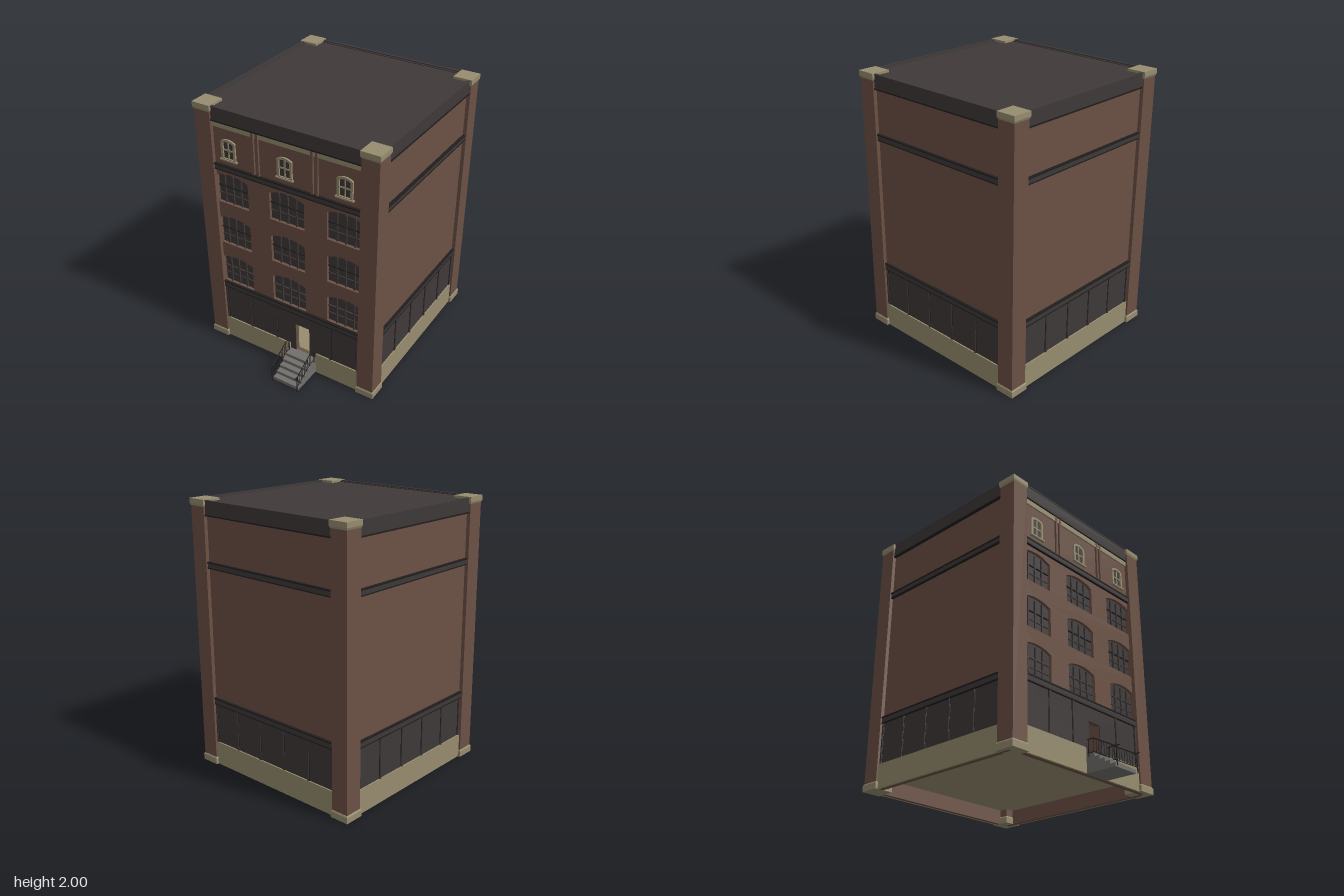
import * as THREE from 'three';

const mat = (name, color) => {
  const m = new THREE.MeshStandardMaterial({ color });
  m.name = name;
  return m;
};

export function createModel() {
  const brick = mat('brick', 0x6b5144);
  const dark = mat('dark metal', 0x3f3939);
  const black = mat('black trim', 0x211e1e);
  const stone = mat('sandstone', 0x978c6f);
  const concrete = mat('concrete', 0x706f6c);

  const root = new THREE.Group();
  root.name = 'building';
  const block = new THREE.Group();
  block.name = 'block';
  block.position.z = -0.125;
  root.add(block);

  const add = (parent, name, geometry, material) => {
    const m = new THREE.Mesh(geometry, material);
    m.name = name;
    parent.add(m);
    return m;
  };
  // box given by its limits
  const box = (parent, name, material, x0, x1, y0, y1, z0, z1) => {
    const m = add(parent, name, new THREE.BoxGeometry(x1 - x0, y1 - y0, z1 - z0), material);
    m.position.set((x0 + x1) / 2, (y0 + y1) / 2, (z0 + z1) / 2);
    return m;
  };
  const plate = (parent, name, material, shape, z0, z1) => {
    const g = new THREE.ExtrudeGeometry(shape, { depth: z1 - z0, bevelEnabled: false, curveSegments: 10 });
    const m = add(parent, name, g, material);
    m.position.z = z0;
    return m;
  };
  const poly = (pts) => new THREE.Shape(pts.map(([x, y]) => new THREE.Vector2(x, y)));
  // rectangle with a shallow arched head
  const arch = (cx, w, y0, spring, top) => {
    const h = top - spring, r = (w * w / 4 + h * h) / (2 * h);
    const a = Math.asin((spring - top + r) / r);
    const s = new THREE.Shape();
    s.moveTo(cx - w / 2, y0);
    s.lineTo(cx + w / 2, y0);
    s.absarc(cx, top - r, r, a, Math.PI - a, false);
    s.closePath();
    return s;
  };

  const columns = [-0.465, 0, 0.465];
  const floors = [0.535, 0.885, 1.24];
  const windowArch = (x, y) => arch(x, 0.284, y, y + 0.212, y + 0.243);

  // four sides share the same bands, panels and parapet
  ['front', 'left', 'back', 'right'].forEach((side, i) => {
    const g = new THREE.Group();
    g.name = side + 'Side';
    g.rotation.y = i * Math.PI / 2;
    block.add(g);
    const front = i === 0;

    if (front) {
      const wall = poly([[-0.66, 0], [0.66, 0], [0.66, 1.93], [-0.66, 1.93]]);
      for (const x of columns) for (const y of floors) wall.holes.push(windowArch(x, y));
      wall.holes.push(poly([[0.05, 0.13], [0.17, 0.13], [0.17, 0.38], [0.05, 0.38]]));
      plate(g, 'frontWall', brick, wall, 0.66, 0.695);
      // dark storefront around the doorway
      plate(g, 'storefront', dark, poly([[-0.6, 0.17], [0, 0.17], [0, 0.13], [0.05, 0.13], [0.05, 0.38],
        [0.17, 0.38], [0.17, 0.13], [0.23, 0.13], [0.23, 0.17], [0.6, 0.17], [0.6, 0.49], [-0.6, 0.49]]), 0.69, 0.7);
      box(g, 'stoneBase', stone, -0.6, 0, 0, 0.18, 0.69, 0.71);
      box(g, 'stoneBase', stone, 0.23, 0.6, 0, 0.18, 0.69, 0.71);
    } else {
      box(g, 'wall', brick, -0.66, 0.66, 0, 1.93, 0.66, 0.695);
      box(g, 'panels', dark, -0.6, 0.6, 0.17, 0.49, 0.69, 0.7);
      box(g, 'stoneBase', stone, -0.6, 0.6, 0, 0.18, 0.69, 0.71);
    }

    // posts between the ground floor panels
    for (const x of [-0.58, -0.355, -0.118, 0.118, 0.355, 0.58]) {
      if (front && x === 0.118) continue;
      box(g, 'panelPost', dark, x - 0.007, x + 0.007, 0.18, 0.485, 0.695, 0.708);
      for (const s of [-1, 1])
        box(g, 'panelGroove', black, x + s * 0.009 - 0.002, x + s * 0.009 + 0.002, 0.18, 0.485, 0.695, 0.703);
    }
    // horizontal bands with thin ledges
    for (const [y0, y1] of [[0.485, 0.535], [1.515, 1.562]]) {
      box(g, 'band', dark, -0.6, 0.6, y0, y1 - 0.01, 0.69, 0.71);
      box(g, 'bandLedge', black, -0.6, 0.6, y1 - 0.01, y1, 0.69, 0.716);
      box(g, 'bandFoot', black, -0.6, 0.6, y0 - 0.002, y0 + 0.006, 0.69, 0.713);
    }
    // cornice and parapet
    box(g, 'cornice', dark, -0.62, 0.62, 1.895, 1.988, 0.68, 0.711);
    box(g, 'corniceFoot', black, -0.6, 0.6, 1.885, 1.895, 0.69, 0.716);
    box(g, 'parapetRim', dark, -0.62, 0.62, 1.988, 1.996, 0.695, 0.716);
  });

  const facade = new THREE.Group();
  facade.name = 'facadeDetails';
  block.add(facade);

  // large arched windows
  for (const x of columns) for (const y of floors) {
    plate(facade, 'windowPane', dark, windowArch(x, y), 0.664, 0.672);
    for (const dx of [-0.07, 0, 0.07])
      box(facade, 'mullion', dark, x + dx - 0.005, x + dx + 0.005, y, y + 0.225, 0.67, 0.684);
    box(facade, 'lowerGlazingBar', dark, x - 0.14, x + 0.14, y + 0.065, y + 0.073, 0.67, 0.68);
    if (y > 0.6) box(facade, 'transom', black, x - 0.14, x + 0.14, y + 0.13, y + 0.138, 0.67, 0.683);
    else box(facade, 'transom', dark, x - 0.14, x + 0.14, y + 0.13, y + 0.138, 0.67, 0.683);
  }

  // small attic windows
  for (const x of columns) {
    const frame = arch(x, 0.12, 1.61, 1.748, 1.767);
    frame.holes.push(arch(x, 0.084, 1.62, 1.737, 1.75));
    plate(facade, 'atticFrame', stone, frame, 0.69, 0.708);
    plate(facade, 'atticPane', dark, arch(x, 0.1, 1.612, 1.74, 1.756), 0.69, 0.697);
    box(facade, 'atticMullion', stone, x - 0.005, x + 0.005, 1.615, 1.75, 0.695, 0.703);
    box(facade, 'atticTransom', stone, x - 0.045, x + 0.045, 1.678, 1.688, 0.695, 0.703);
    box(facade, 'atticSill', stone, x - 0.07, x + 0.07, 1.603, 1.614, 0.69, 0.715);
  }
  // stone frieze and paired attic pilasters
  box(facade, 'frieze', stone, -0.6, 0.6, 1.846, 1.886, 0.69, 0.707);
  for (const s of [-1, 1]) for (const x of [0.217, 0.254])
    box(facade, 'atticPilaster', brick, s * x - 0.009, s * x + 0.009, 1.56, 1.886, 0.69, 0.71);

  // roof and raised floor
  box(block, 'roof', dark, -0.7, 0.7, 1.95, 1.983, -0.7, 0.7);
  box(block, 'floor', stone, -0.665, 0.665, 0.11, 0.13, -0.665, 0.665);

  // corner pillars with tapered stone feet and caps
  const taper = (y0, y1, w0, w1) => {
    const g = new THREE.CylinderGeometry(w1 / Math.SQRT2, w0 / Math.SQRT2, y1 - y0, 4, 1).toNonIndexed();
    g.rotateY(Math.PI / 4);
    g.translate(0, (y0 + y1) / 2, 0);
    g.computeVertexNormals();
    return g;
  };
  for (const sx of [-1, 1]) for (const sz of [-1, 1]) {
    const p = new THREE.Group();
    p.name = 'cornerPillar';
    p.position.set(sx * 0.657, 0, sz * 0.657);
    block.add(p);
    add(p, 'pillarShaft', taper(0.05, 1.96, 0.132, 0.132), brick);
    add(p, 'pillarFoot', taper(0, 0.045, 0.146, 0.146), stone);
    add(p, 'pillarFootBevel', taper(0.045, 0.055, 0.146, 0.134), stone);
    add(p, 'pillarCapBevel', taper(1.95, 1.965, 0.134, 0.146), stone);
    add(p, 'pillarCap', taper(1.965, 2, 0.146, 0.146), stone);
  }

  // entrance stairs
  const stairs = new THREE.Group();
  stairs.name = 'entranceStairs';
  root.add(stairs);
  const steps = 5;
  for (let i = 0; i < steps; i++)
    box(stairs, 'step', concrete, 0.004, 0.226, i * 0.026, (i + 1) * 0.026, 0.566, 0.815 - i * 0.042);

  // railings: bent handrail, lower rail and balusters
  const bar = (a, b, r, name) => {
    const u = new THREE.Vector3(...a), v = new THREE.Vector3(...b);
    const m = add(stairs, name, new THREE.CylinderGeometry(r, r, u.distanceTo(v), 6), black);
    m.position.copy(u).add(v).multiplyScalar(0.5);
    m.quaternion.setFromUnitVectors(new THREE.Vector3(0, 1, 0), v.sub(u).normalize());
  };
  for (const x of [0.004, 0.226]) {
    const path = [[x, 0.137, 0.855], [x, 0.137, 0.82], [x, 0.232, 0.645], [x, 0.232, 0.592]];
    for (let i = 0; i < 3; i++) bar(path[i], path[i + 1], 0.004, 'handrail');
    bar([x, 0.04, 0.83], [x, 0.137, 0.645], 0.0025, 'lowerRail');
    bar([x, 0.137, 0.645], [x, 0.137, 0.592], 0.0025, 'lowerRail');
    bar([x, 0, 0.83], [x, 0.137, 0.83], 0.004, 'railPost');
    bar([x, 0.11, 0.602], [x, 0.232, 0.602], 0.004, 'railPost');
    for (let i = 0; i < 9; i++) {
      const t = i / 8, z = 0.815 - t * 0.17;
      bar([x, 0.045 + t * 0.092, z], [x, 0.14 + t * 0.092, z], 0.002, 'baluster');
    }
  }
  return root;
}
